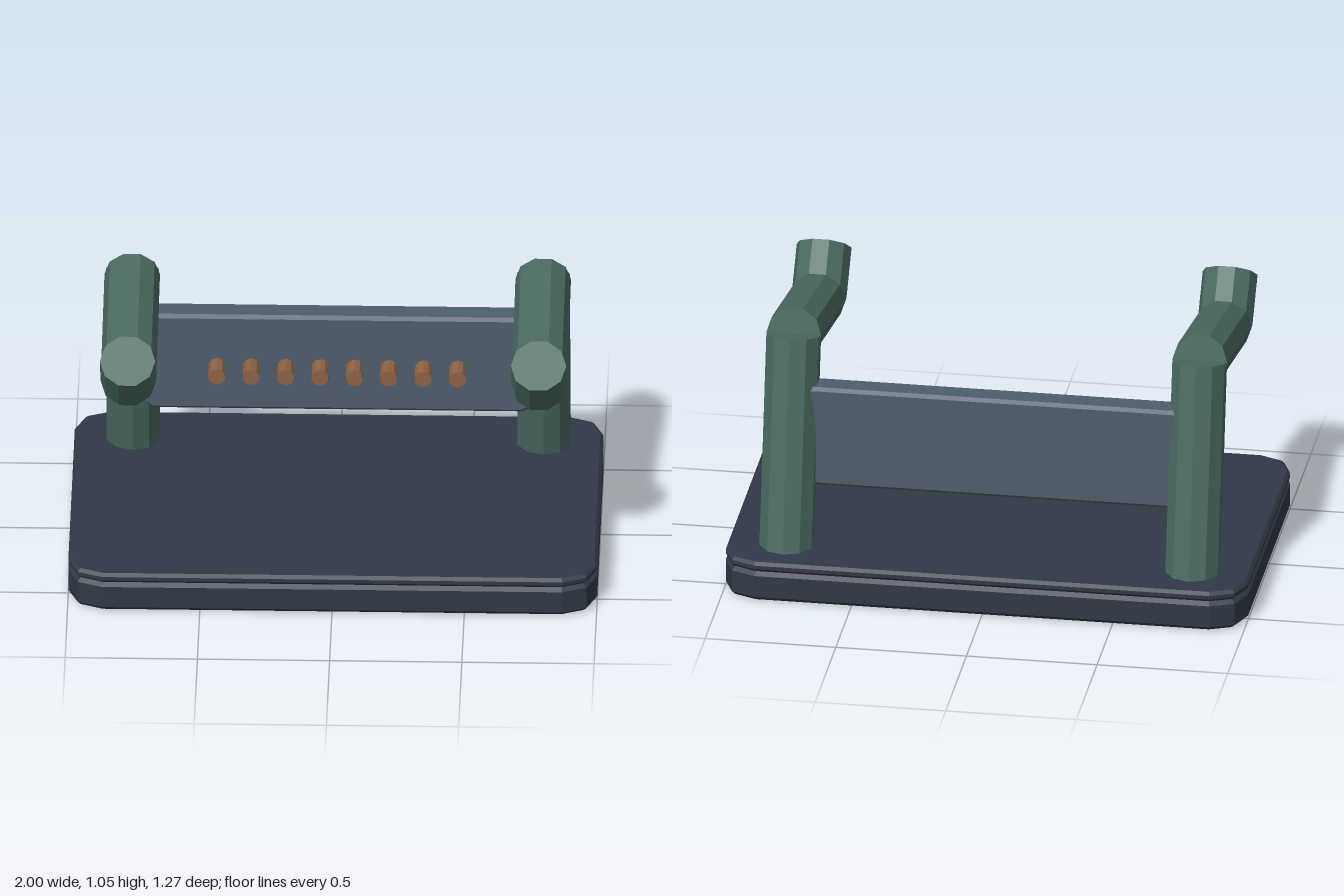
import * as THREE from 'three';

const mat = (name, color) => {
  const m = new THREE.MeshStandardMaterial({ color, flatShading: true });
  m.name = name;
  return m;
};

// Rectangle with rounded corners, centred on the origin
function roundedRect(w, h, r) {
  const x = w / 2 - r, y = h / 2 - r, s = new THREE.Shape();
  s.absarc(x, y, r, 0, Math.PI / 2);
  s.absarc(-x, y, r, Math.PI / 2, Math.PI);
  s.absarc(-x, -y, r, Math.PI, Math.PI * 1.5);
  s.absarc(x, -y, r, Math.PI * 1.5, Math.PI * 2);
  s.closePath();
  return s;
}

// Bevelled plate of full size w x h x depth, running from z = 0 to z = depth
function plate(w, h, r, depth, bevel, curveSegments) {
  const g = new THREE.ExtrudeGeometry(roundedRect(w, h, r), {
    depth: depth - 2 * bevel, curveSegments, bevelEnabled: true, bevelSegments: 1,
    bevelThickness: bevel, bevelSize: bevel, bevelOffset: -bevel,
  });
  return g.translate(0, 0, bevel);
}

export function createModel() {
  const slate = mat('dark slate', 0x313947);
  const steel = mat('blue grey', 0x4f5d6c);
  const green = mat('dull green', 0x4a6a61);
  const copper = mat('copper', 0x8d6244);
  const model = new THREE.Group();
  model.name = 'rack';

  const add = (parent, name, geometry, material) => {
    const mesh = new THREE.Mesh(geometry, material);
    mesh.name = name;
    parent.add(mesh);
    return mesh;
  };

  // Two stacked slabs with a groove between them
  const slab = (name, y0, y1, bevel) => {
    const g = plate(2, 1.27, 0.13, y1 - y0, bevel, 1).rotateX(-Math.PI / 2);
    add(model, name, g, slate).position.y = y0;
  };
  slab('baseLower', 0, 0.119, 0.016);
  slab('baseUpper', 0.119, 0.158, 0.012);

  // Ten-sided rod between two [z, y] points
  const rod = (parent, name, a, b, thetaStart) => {
    const dz = b[0] - a[0], dy = b[1] - a[1];
    const g = new THREE.CylinderGeometry(0.105, 0.105, Math.hypot(dz, dy), 10, 1, false, thetaStart);
    const m = add(parent, name, g, green);
    m.position.set(0, (a[1] + b[1]) / 2, (a[0] + b[0]) / 2);
    m.rotation.x = Math.atan2(dz, dy);
  };

  // Leaning post, forward arm and upturned tip on each side
  const foot = [-0.45, 0.1], shoulder = [-0.271, 0.953], wrist = [0.337, 0.831], tip = [0.461, 0.985];
  for (const side of [1, -1]) {
    const support = new THREE.Group();
    support.name = side > 0 ? 'leftSupport' : 'rightSupport';
    support.position.x = side * 0.777;
    rod(support, 'post', foot, shoulder, 0);
    rod(support, 'arm', shoulder, wrist, Math.PI / 2);
    rod(support, 'armTip', wrist, tip, Math.PI / 2);
    model.add(support);
  }

  // Upright panel between the posts
  add(model, 'panel', plate(1.46, 0.405, 0.04, 0.105, 0.013, 2), steel)
    .position.set(0, 0.576, -0.371);

  // Row of pegs on the panel front
  const pegs = new THREE.Group();
  pegs.name = 'pegs';
  const pegGeometry = new THREE.CylinderGeometry(0.033, 0.033, 0.11, 10).rotateX(Math.PI / 2);
  for (let i = 0; i < 8; i++) {
    add(pegs, 'peg', pegGeometry, copper).position.set((i - 3.5) * 0.13, 0.564, -0.232);
  }
  model.add(pegs);

  return model;
}
